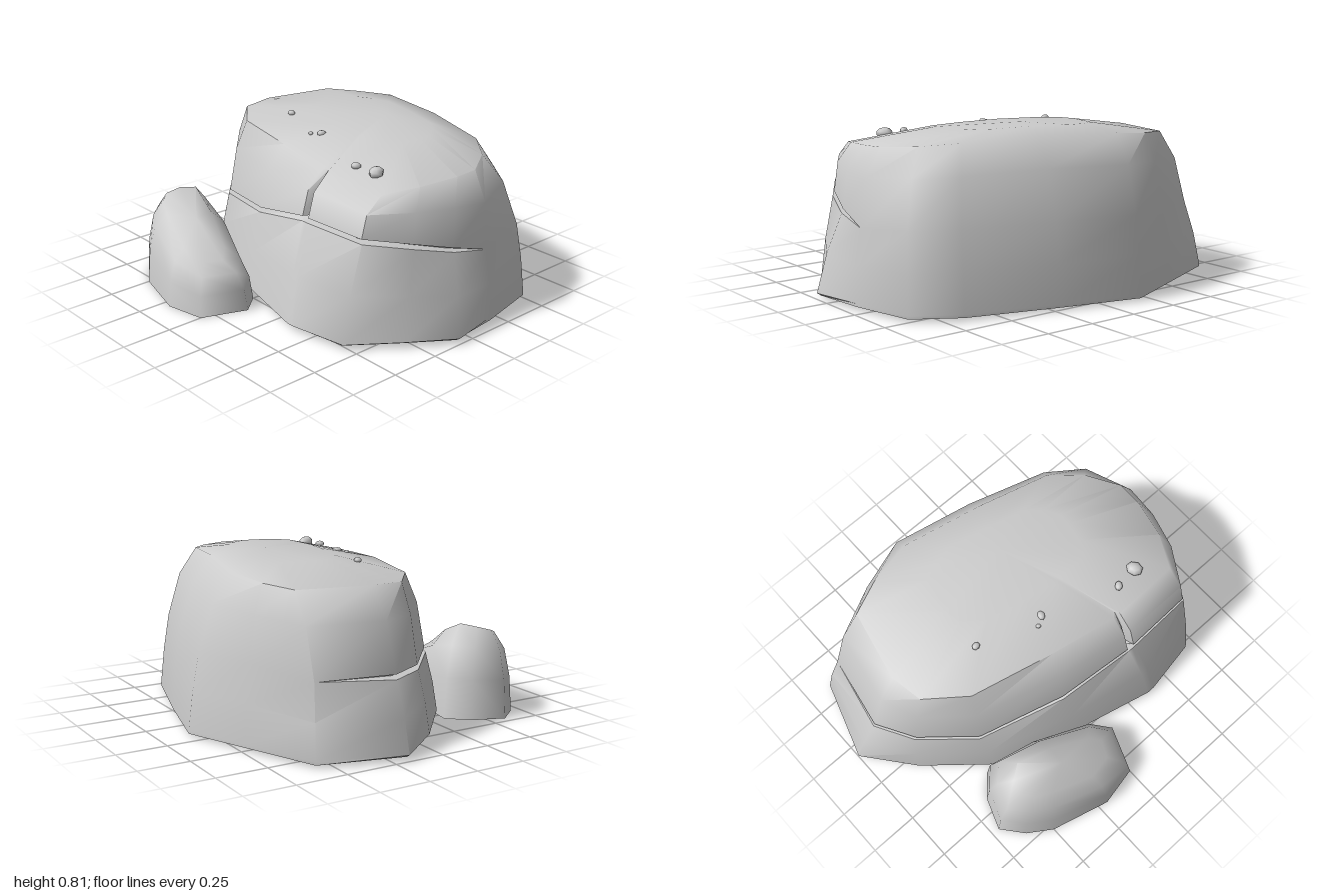
import * as THREE from 'three';
import { toCreasedNormals } from 'three/addons/utils/BufferGeometryUtils.js';

const material = new THREE.MeshStandardMaterial({ color: 0xcccccc, side: THREE.DoubleSide });

// Skin closed rings from bottom to top, then fan the last ring to an apex.
function loft(rings, apex, crease) {
  const n = rings[0].length;
  const index = [];
  for (let i = 0; i < rings.length; i++) {
    for (let j = 0; j < n; j++) {
      const k = (j + 1) % n;
      const a = i * n + j, b = i * n + k;
      if (i === rings.length - 1) index.push(a, b, rings.length * n);
      else index.push(a, b, b + n, a, b + n, a + n);
    }
  }
  const geometry = new THREE.BufferGeometry();
  geometry.setAttribute('position', new THREE.Float32BufferAttribute([...rings.flat(), apex].flat(), 3));
  geometry.setIndex(index);
  return toCreasedNormals(geometry, crease);
}

// Blend two rings; the plan amount may vary with x and z, the height has its own amount.
function blend(from, to, plan, height) {
  return from.map(([x, y, z], i) => {
    const [tx, ty, tz] = to[i];
    const t = plan(x, z);
    return [x + (tx - x) * t, y + (ty - y) * height, z + (tz - z) * t];
  });
}

function mesh(name, geometry) {
  const m = new THREE.Mesh(geometry, material);
  m.name = name;
  return m;
}

// Boulder outlines, running left to right across the front, then round the back.
const FOOT = [
  [-1, -0.18], [-0.8, 0.07], [-0.5, 0.33], [-0.05, 0.48], [0.39, 0.58],
  [0.69, 0.53], [0.86, 0.3], [1, 0.09], [0.95, -0.18], [0.88, -0.5],
  [0.67, -0.63], [0.22, -0.76], [-0.18, -0.86], [-0.5, -0.73], [-0.87, -0.58],
];
const CRACK = [
  [-0.86, 0.35, -0.16], [-0.75, 0.345, 0.03], [-0.51, 0.35, 0.24], [-0.08, 0.415, 0.375], [0.33, 0.505, 0.43],
  [0.69, 0.51, 0.42], [0.82, 0.47, 0.22], [0.885, 0.42, 0.03], [0.91, 0.37, -0.17], [0.85, 0.4, -0.455],
  [0.65, 0.4, -0.585], [0.22, 0.4, -0.72], [-0.19, 0.4, -0.805], [-0.48, 0.4, -0.69], [-0.79, 0.36, -0.54],
];
const RIM = [
  [-0.69, 0.735, -0.17], [-0.66, 0.73, 0], [-0.47, 0.73, 0.15], [-0.05, 0.735, 0.25], [0.33, 0.715, 0.31],
  [0.69, 0.7, 0.3], [0.77, 0.72, 0.14], [0.81, 0.73, -0.06], [0.81, 0.735, -0.18], [0.71, 0.745, -0.34],
  [0.56, 0.76, -0.46], [0.19, 0.78, -0.55], [-0.22, 0.765, -0.64], [-0.44, 0.745, -0.6], [-0.61, 0.735, -0.53],
];
// How far the long crack opens in each column: it dies out round the back.
const OPEN = [1, 1, 1, 1, 1, 1, 1, 0.9, 0, 0, 0, 0, 0, 0, 0];
const SLIT = 4;

// Split the slit column in three, with the middle one sunk by the given depth.
function split(ring, depth) {
  const [x, y, z] = ring[SLIT];
  return [...ring.slice(0, SLIT), [x - 0.03, y, z], [x - 0.005, y, z - depth], [x + 0.01, y, z],
    ...ring.slice(SLIT + 1)];
}

function boulderGeometry() {
  // Move a ring outwards and upwards in proportion to the crack's opening.
  const offset = (ring, out, up) => ring.map(([x, y, z], i) => {
    const s = 1 + (out * OPEN[i]) / Math.hypot(x, z);
    return [x * s, y + up * OPEN[i], z * s];
  });
  const foot = FOOT.map(([x, z]) => [x, 0.03, z]);
  const lip = offset(foot, -0.025, 0).map(([x, , z]) => [x, 0.015, z]);
  const ledge = offset(CRACK, 0.008, -0.012);
  const top = [0.1, 0.81, -0.3];
  // The back leans in more than the front.
  const shoulderPlan = (x, z) => (z < -0.3 ? 0.42 : 0.34 - 0.13 * x);
  const rings = [
    split(lip, 0),
    split(foot, 0),
    split(blend(foot, ledge, () => 0.4, 0.5), 0),
    split(ledge, 0),
    split(offset(CRACK, -0.05, -0.008), 0),
    split(offset(CRACK, -0.045, 0.006), 0.02),
    split(offset(CRACK, 0, 0.01), 0.05),
    split(blend(CRACK, RIM, shoulderPlan, 0.62), 0.05),
    split(RIM, 0.02),
    split(blend(RIM, RIM.map(() => top), () => 0.5, 0.78), 0),
  ];
  return loft(rings, top, 0.95);
}

// Smaller stone leaning on the front, with a top sloping down to its left.
const STONE_FOOT = [
  [-0.71, 0, 0.59], [-0.65, 0, 0.43], [-0.56, 0, 0.33], [-0.3, 0, 0.38], [0, 0, 0.5],
  [0.085, 0, 0.6], [0, 0, 0.82], [-0.2, 0, 0.86], [-0.5, 0, 0.78], [-0.62, 0, 0.7],
];
const STONE_RIM = [
  [-0.57, 0.415, 0.6], [-0.55, 0.435, 0.53], [-0.48, 0.445, 0.48], [-0.3, 0.375, 0.52], [-0.1, 0.27, 0.59],
  [-0.05, 0.23, 0.64], [-0.09, 0.23, 0.72], [-0.22, 0.28, 0.75], [-0.44, 0.37, 0.69], [-0.53, 0.395, 0.65],
];

function stoneGeometry() {
  return loft([
    STONE_FOOT,
    blend(STONE_FOOT, STONE_RIM, () => 0.13, 0.45),
    blend(STONE_FOOT, STONE_RIM, () => 0.44, 0.8),
    STONE_RIM,
  ], [-0.3, 0.365, 0.61], 1.25);
}

export function createModel() {
  const group = new THREE.Group();
  group.name = 'rocks';
  group.add(mesh('boulder', boulderGeometry()), mesh('smallStone', stoneGeometry()));

  // Pebbles scattered on the boulder's top: x, y, z, radius
  const pebbles = [
    [-0.3, 0.778, -0.01, 0.022], [0.035, 0.772, 0.08, 0.024], [-0.01, 0.768, 0.11, 0.014],
    [0.425, 0.743, 0.21, 0.025], [0.545, 0.74, 0.195, 0.044],
  ];
  const pebbleGeometry = new THREE.SphereGeometry(1, 7, 5);
  pebbles.forEach(([x, y, z, r], i) => {
    const pebble = mesh('pebble', pebbleGeometry);
    pebble.position.set(x, y, z);
    pebble.scale.set(r, r * 0.65, r * 0.8);
    pebble.rotation.y = i * 1.3;
    group.add(pebble);
  });
  return group;
}
